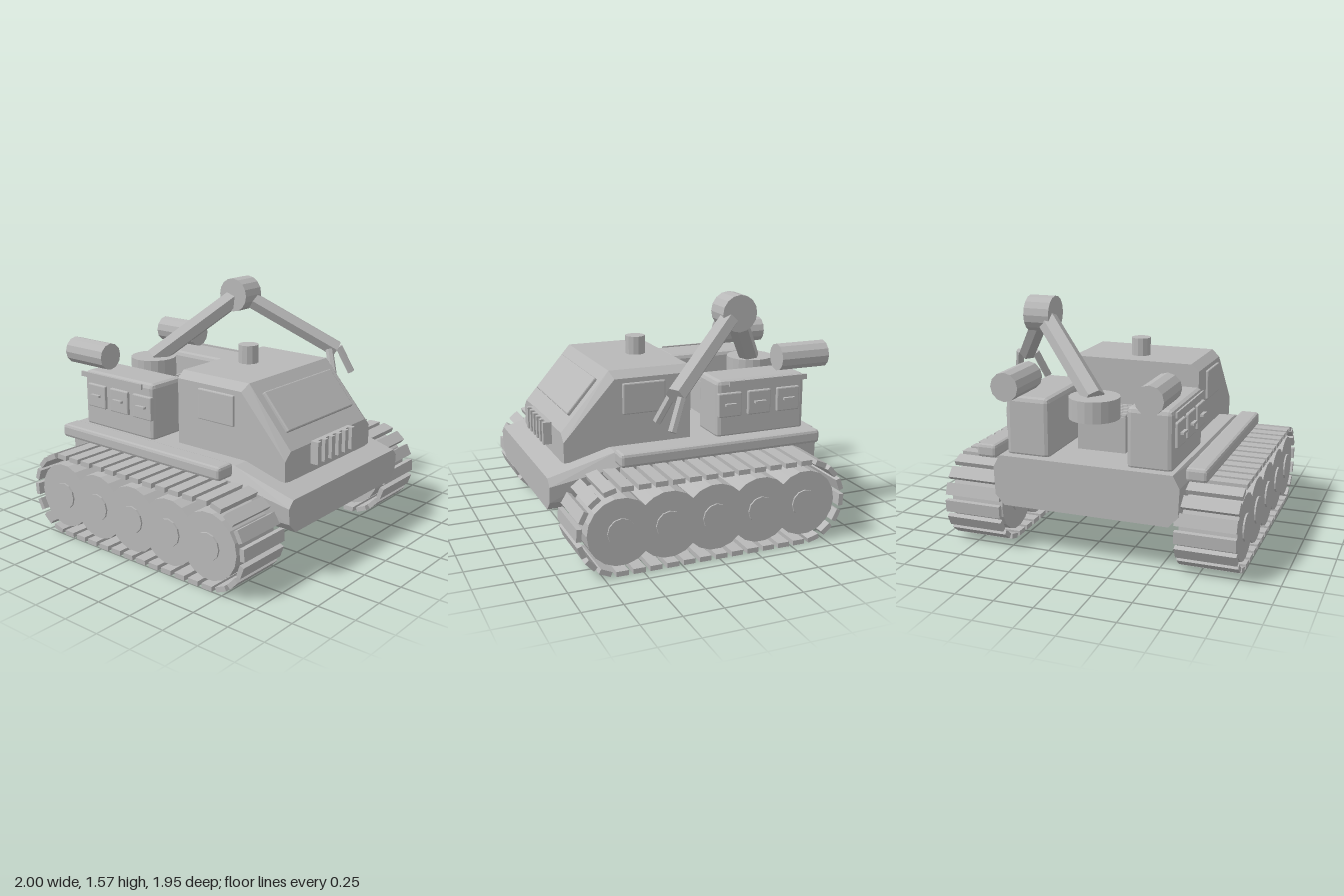
import * as THREE from 'three';
import { RoundedBoxGeometry } from 'three/addons/geometries/RoundedBoxGeometry.js';
import { ConvexGeometry } from 'three/addons/geometries/ConvexGeometry.js';

const V = (x, y, z) => new THREE.Vector3(x, y, z);

export function createModel() {
  const grey = new THREE.MeshStandardMaterial({ color: 0xb8b8b8 });
  grey.name = 'plain grey';

  const root = new THREE.Group();
  root.name = 'trackedVehicle';
  // The vehicle body is symmetric about this offset axis; the arm reaches out to one side
  const body = new THREE.Group();
  body.name = 'vehicle';
  body.position.x = -0.043;
  root.add(body);

  const flat = (geo) => {
    const g = geo.index ? geo.toNonIndexed() : geo;
    g.computeVertexNormals();
    return g;
  };
  const add = (name, geo, x = 0, y = 0, z = 0, parent = body) => {
    const m = new THREE.Mesh(geo, grey);
    m.name = name;
    m.position.set(x, y, z);
    parent.add(m);
    return m;
  };
  const box = (w, h, d) => new THREE.BoxGeometry(w, h, d);
  const chamferBox = (w, h, d, r) => flat(new RoundedBoxGeometry(w, h, d, 1, r));
  const cyl = (r, h, n) => flat(new THREE.CylinderGeometry(r, r, h, n));
  // Faceted cylinder along x or z
  const cylX = (r, h, n) => cyl(r, h, n).rotateZ(Math.PI / 2);
  const cylZ = (r, h, n) => cyl(r, h, n).rotateX(Math.PI / 2);
  // Hexagonal bar between two points
  const bar = (name, a, b, r, parent) => {
    const dir = b.clone().sub(a);
    const m = add(name, cyl(r, dir.length(), 6), 0, 0, 0, parent);
    m.position.copy(a).add(b).multiplyScalar(0.5);
    m.quaternion.setFromUnitVectors(V(0, 1, 0), dir.normalize());
    return m;
  };

  // Hull: mirrored cross-sections of [half width, y] at each z
  const hullSections = [
    [0.97, [[0.54, 0.325], [0.605, 0.39], [0.612, 0.49], [0.57, 0.535]]],
    [0.54, [[0.54, 0.325], [0.615, 0.39], [0.635, 0.57], [0.58, 0.65]]],
    [-0.86, [[0.54, 0.325], [0.6, 0.39], [0.608, 0.57], [0.565, 0.65]]],
  ];
  const hullPoints = [];
  for (const [z, pts] of hullSections)
    for (const [w, y] of pts) hullPoints.push(V(w, y, z), V(-w, y, z));
  add('hull', new ConvexGeometry(hullPoints));

  // Cabin: outer side profile and a raised inner profile, giving chamfered edges
  const cabinProfiles = [
    [0.47, [[-0.01, 0.58], [0.835, 0.58], [0.835, 0.71], [0.5, 1.08], [-0.01, 1.08]]],
    [0.415, [[-0.01, 0.57], [0.835, 0.57], [0.835, 0.76], [0.52, 1.125], [-0.01, 1.125]]],
  ];
  const cabinPoints = [];
  for (const [w, pts] of cabinProfiles)
    for (const [z, y] of pts) cabinPoints.push(V(w, y, z), V(-w, y, z));
  add('cabin', new ConvexGeometry(cabinPoints));

  const windshield = add('windshield', chamferBox(0.72, 0.285, 0.04, 0.008), 0, 0.955, 0.67);
  windshield.rotation.x = -0.719;
  add('roofLight', cyl(0.066, 0.13, 12), 0, 1.18, 0.187);

  // Front grille
  add('grillePlate', box(0.415, 0.145, 0.03), 0, 0.7, 0.85);
  for (let i = 0; i < 6; i++)
    add('grilleBar', box(0.035, 0.145, 0.03), -0.19 + i * 0.076, 0.7, 0.875);

  // Engine cover with louvres
  add('engineCover', box(0.32, 0.23, 0.27), 0, 0.765, -0.425);
  for (let i = 0; i < 8; i++)
    add('louvre', box(0.32, 0.02, 0.02), 0, 0.885, -0.305 - i * 0.034);

  // Parts repeated on both sides
  for (const s of [1, -1]) {
    add('sideWindow', chamferBox(0.03, 0.2, 0.285, 0.008), s * 0.472, 0.95, 0.308);
    add('sideRail', chamferBox(0.135, 0.088, 1.365, 0.02), s * 0.69, 0.644, -0.118);

    // Storage locker with three doors
    add('locker', chamferBox(0.29, 0.39, 0.635, 0.03), s * 0.398, 0.825, -0.4825);
    add('lockerTrim', box(0.012, 0.035, 0.56), s * 0.565, 1.0, -0.52);
    for (let i = 0; i < 3; i++) {
      const z = -0.25 - i * 0.21;
      add('lockerDoor', chamferBox(0.035, 0.16, 0.165, 0.008), s * 0.545, 0.86, z);
      add('doorHandle', box(0.025, 0.015, 0.08), s * 0.572, 0.865, z);
    }
    add('canister', cylZ(0.09, 0.345, 12), s * 0.456, 1.12, -0.805);

    // Track assembly
    const track = new THREE.Group();
    track.name = s > 0 ? 'leftTrack' : 'rightTrack';
    track.position.set(s * 0.766, 0.287, 0);
    body.add(track);
    for (let i = 0; i < 5; i++) {
      const z = 0.637 - i * 0.307;
      add('roadWheel', cylX(0.213, 0.36, 18), 0, -0.004, z, track);
      add('wheelHub', cylX(0.088, 0.382, 12), 0, -0.004, z, track);
    }
    // Shoes spaced evenly round a stadium-shaped loop
    const zFront = 0.635, zBack = -0.592, r = 0.264;
    const straight = zFront - zBack, arc = Math.PI * r;
    const count = 38, total = 2 * (straight + arc);
    for (let i = 0; i < count; i++) {
      let d = (i / count) * total;
      const top = d < straight + arc;
      if (!top) d -= straight + arc;
      const a = Math.max(0, d - straight) / r;
      const along = Math.min(d, straight);
      const k = top ? 1 : -1;
      const z = top ? zBack + along + r * Math.sin(a) : zFront - along - r * Math.sin(a);
      const shoe = add('trackShoe', box(0.382, 0.032, 0.078), 0, k * r * Math.cos(a), z, track);
      shoe.rotation.x = a;
    }
  }

  // Crane arm on its turntable
  const arm = new THREE.Group();
  arm.name = 'craneArm';
  body.add(arm);
  add('turntable', cyl(0.16, 0.135, 20), 0, 0.967, -0.67, arm);
  const elbow = V(0.511, 1.455, -0.288);
  const wrist = V(0.91, 1.06, 0.28);
  bar('upperArm', V(0, 1.02, -0.67), elbow, 0.07, arm);
  add('elbowJoint', cylX(0.118, 0.175, 16), elbow.x, elbow.y, elbow.z, arm);
  bar('forearm', elbow, wrist, 0.063, arm);
  bar('innerFinger', V(0.84, 1.065, 0.265), V(0.783, 0.88, 0.345), 0.028, arm);
  bar('outerFinger', V(0.965, 1.065, 0.265), V(1.015, 0.88, 0.345), 0.028, arm);

  return root;
}
